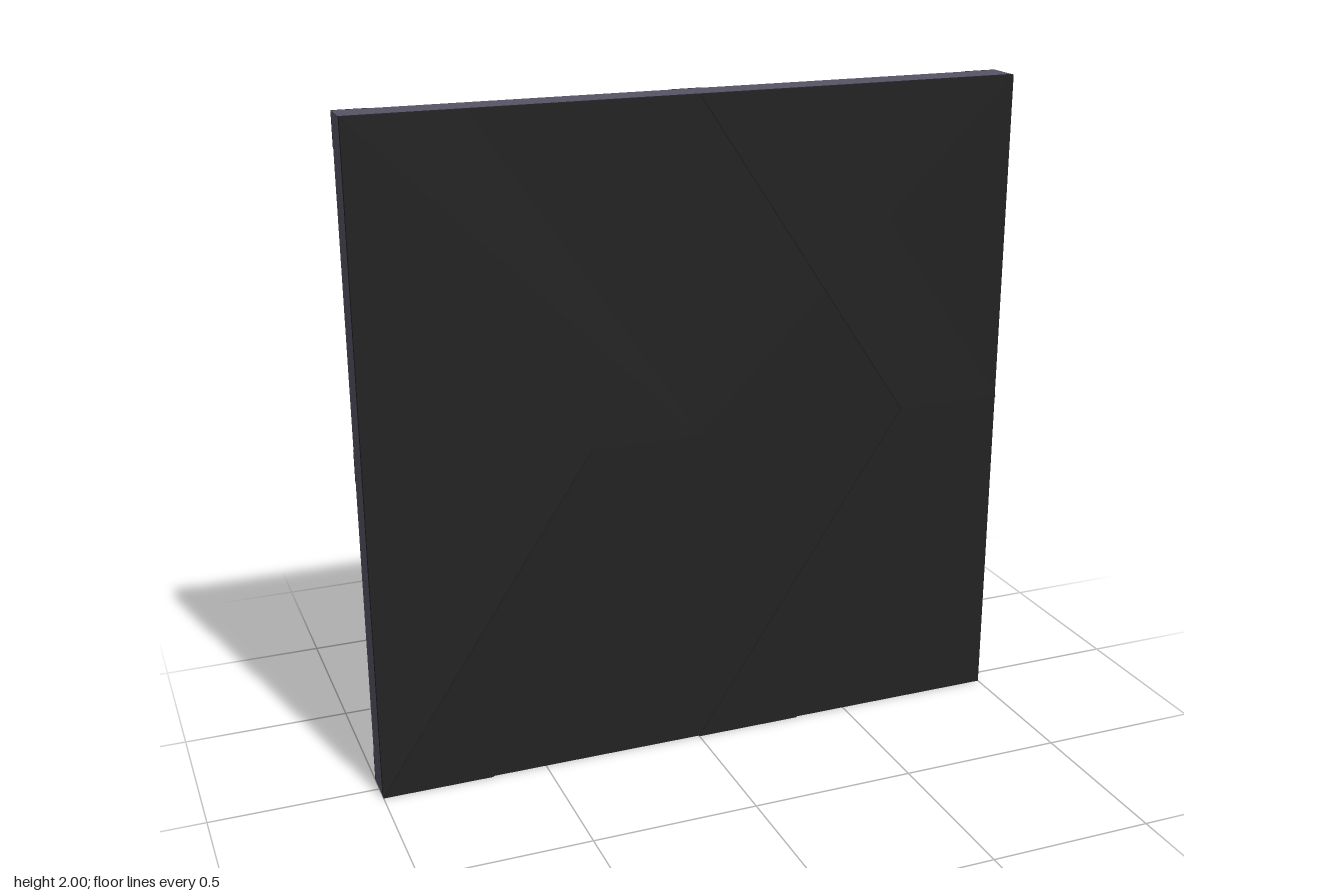
import * as THREE from 'three';

export function createModel() {
  const group = new THREE.Group();
  const slate = new THREE.MeshStandardMaterial({ color: 0x555566 });
  const black = new THREE.MeshStandardMaterial({ color: 0x222222 });

  const add = (name, geometry, material, x, y, z) => {
    const mesh = new THREE.Mesh(geometry, material);
    mesh.name = name;
    mesh.position.set(x, y, z);
    group.add(mesh);
  };
  // box spanning z0..z1 in depth
  const slab = (name, size, z0, z1, material, x, y) =>
    add(name, new THREE.BoxGeometry(size, size, z1 - z0), material, x, y, (z0 + z1) / 2);

  // Core board and the dark facing on its front
  slab('board', 2, -0.053, 0.04, slate, 0, 1);
  slab('facing', 2, 0.04, 0.053, black, 0, 1);

  // Two raised chevrons pointing to +x
  for (const x of [-1, 0]) {
    const shape = new THREE.Shape([
      [0, 0], [1 / 3, 0], [1, 1], [1 / 3, 2], [0, 2], [2 / 3, 1],
    ].map(([px, py]) => new THREE.Vector2(px, py)));
    const geometry = new THREE.ExtrudeGeometry(shape, { depth: 0.005, bevelEnabled: false });
    add('chevron', geometry, black, x, 0, 0.053);
  }

  // Three by three grid of square pads on the back
  for (const x of [-0.95, 0, 0.95]) {
    for (const y of [0.05, 1, 1.95]) {
      slab('backPad', 0.1, -0.058, -0.053, black, x, y);
    }
  }
  return group;
}
